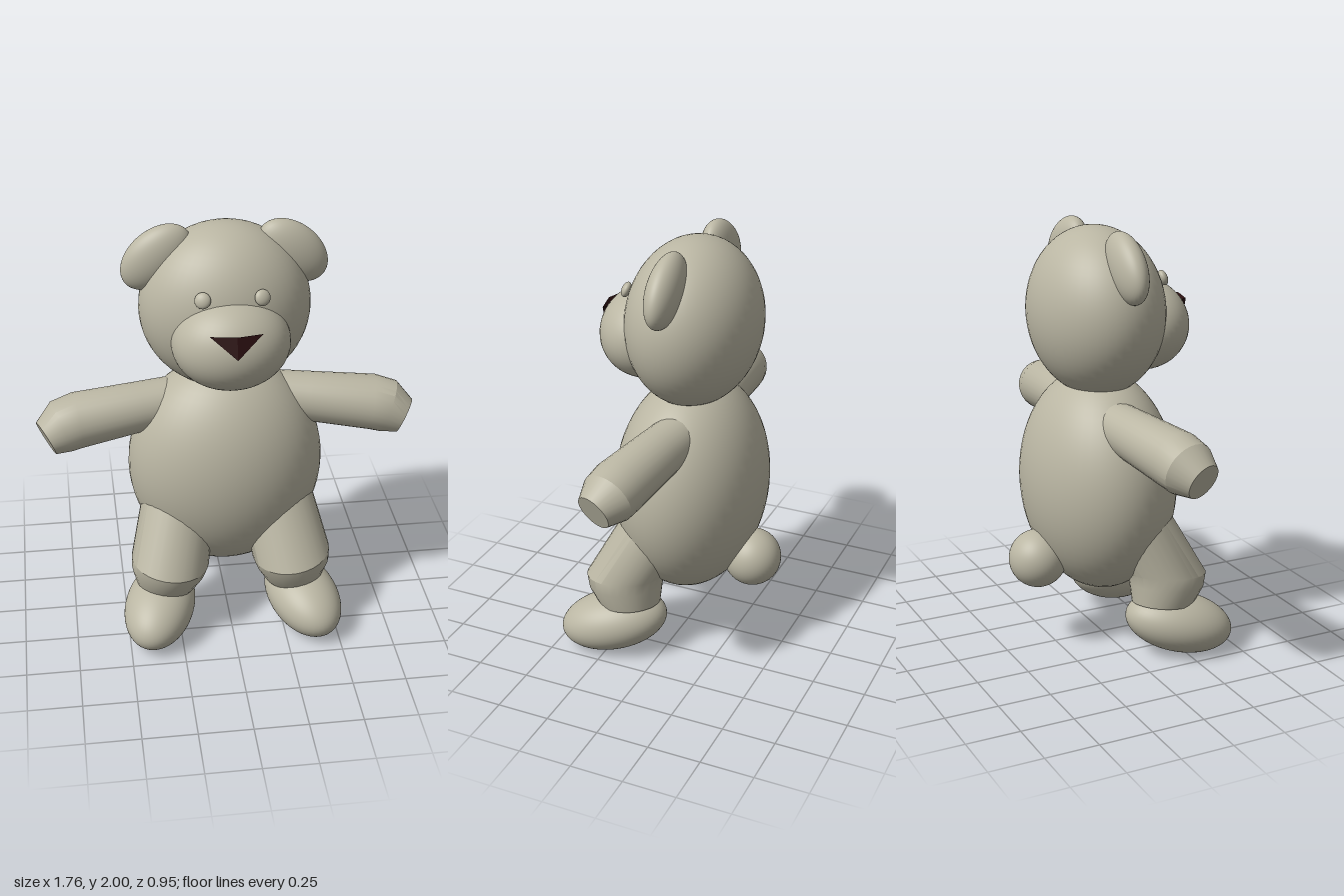
import * as THREE from 'three';
import { toCreasedNormals } from 'three/addons/utils/BufferGeometryUtils.js';

const plush = new THREE.MeshStandardMaterial({ color: 0xbab6a3 });
plush.name = 'plush';
const noseDark = new THREE.MeshStandardMaterial({ color: 0x2b0f10, side: THREE.DoubleSide });
noseDark.name = 'noseDark';

// Ellipsoid with given centre, radii and rotation
function ellipsoid(name, centre, radii, rotation = [0, 0, 0]) {
  const mesh = new THREE.Mesh(new THREE.SphereGeometry(1, 48, 32), plush);
  mesh.name = name;
  mesh.position.set(...centre);
  mesh.scale.set(...radii);
  mesh.rotation.set(...rotation, 'YXZ');
  return mesh;
}

// Round limb through tilted rings { c: centre, n: direction, r: radius }, capped at its end
function limb(name, rings, side, ref, sides = 28) {
  const pos = [];
  const index = [];
  rings.forEach(({ c, n, r }) => {
    const dir = new THREE.Vector3(n[0] * side, n[1], n[2]).normalize();
    const u = new THREE.Vector3().crossVectors(ref, dir).normalize();
    const v = new THREE.Vector3().crossVectors(dir, u);
    for (let j = 0; j < sides; j++) {
      const a = (j / sides) * Math.PI * 2;
      const p = new THREE.Vector3(c[0] * side, c[1], c[2])
        .addScaledVector(u, Math.cos(a) * r)
        .addScaledVector(v, Math.sin(a) * r);
      pos.push(p.x, p.y, p.z);
    }
  });
  for (let i = 0; i < rings.length - 1; i++) {
    for (let j = 0; j < sides; j++) {
      const k = (j + 1) % sides;
      const a = i * sides + j, b = i * sides + k;
      index.push(a, b, b + sides, a, b + sides, a + sides);
    }
  }
  const last = rings[rings.length - 1];
  const start = (rings.length - 1) * sides;
  pos.push(last.c[0] * side, last.c[1], last.c[2]);
  for (let j = 0; j < sides; j++) {
    index.push(rings.length * sides, start + j, start + ((j + 1) % sides));
  }
  const geo = new THREE.BufferGeometry();
  geo.setAttribute('position', new THREE.Float32BufferAttribute(pos, 3));
  geo.setIndex(index);
  const mesh = new THREE.Mesh(toCreasedNormals(geo, 0.45), plush);
  mesh.name = name;
  return mesh;
}

// Folded triangular nose closed towards a point inside the muzzle
function createNose() {
  const l = [-0.115, 1.645, 0.372], r = [0.115, 1.645, 0.372];
  const top = [0, 1.648, 0.398], tip = [0, 1.55, 0.425], back = [0, 1.61, 0.375];
  const faces = [l, tip, top, top, tip, r, l, top, back, top, r, back, l, back, tip, r, tip, back];
  const geo = new THREE.BufferGeometry();
  geo.setAttribute('position', new THREE.Float32BufferAttribute(faces.flat(), 3));
  geo.computeVertexNormals();
  const mesh = new THREE.Mesh(geo, noseDark);
  mesh.name = 'nose';
  return mesh;
}

export function createModel() {
  const model = new THREE.Group();
  model.name = 'teddyBear';

  // Trunk, head and tail
  model.add(
    ellipsoid('body', [0, 0.8, -0.027], [0.46, 0.53, 0.348]),
    ellipsoid('head', [0, 1.605, -0.035], [0.39, 0.39, 0.304]),
    ellipsoid('muzzle', [0, 1.525, 0.19], [0.265, 0.215, 0.222]),
    ellipsoid('tail', [0, 0.445, -0.336], [0.137, 0.137, 0.137]),
    createNose()
  );

  for (const s of [1, -1]) {
    const label = s > 0 ? 'left' : 'right';

    // Ears and eyes
    model.add(
      ellipsoid(label + 'Ear', [0.305 * s, 1.85, -0.03], [0.183, 0.122, 0.076], [0, 0, -0.72 * s]),
      ellipsoid(label + 'Eye', [0.13 * s, 1.755, 0.243], [0.036, 0.036, 0.021], [-0.4, 0.3 * s, 0])
    );

    // Arms with a bent, bevelled paw
    model.add(limb(label + 'Arm', [
      { c: [0.18, 1.125, -0.055], n: [1, -0.08, 0.12], r: 0.11 },
      { c: [0.4, 1.107, -0.02], n: [1, -0.08, 0.13], r: 0.118 },
      { c: [0.69, 1.08, 0.022], n: [1, -0.1, 0.14], r: 0.131 },
      { c: [0.765, 1.06, 0.036], n: [0.93, -0.3, 0.2], r: 0.126 },
      { c: [0.838, 1.02, 0.068], n: [0.87, -0.38, 0.31], r: 0.086 }
    ], s, new THREE.Vector3(0, 1, 0)));

    // Legs with a creased knee
    model.add(limb(label + 'Leg', [
      { c: [0.2, 0.77, -0.02], n: [0.2, -0.85, 0.48], r: 0.17 },
      { c: [0.29, 0.39, 0.195], n: [0.13, -1, -0.07], r: 0.185 },
      { c: [0.3, 0.335, 0.19], n: [0.12, -1, -0.1], r: 0.175 },
      { c: [0.31, 0.25, 0.165], n: [0.1, -1, -0.1], r: 0.145 }
    ], s, new THREE.Vector3(0, 0, 1)));

    // Feet turned slightly outwards, toes down
    model.add(ellipsoid(label + 'Foot', [0.348 * s, 0.15, 0.232], [0.165, 0.14, 0.258], [0.235, 0.32 * s, 0]));
  }
  return model;
}
